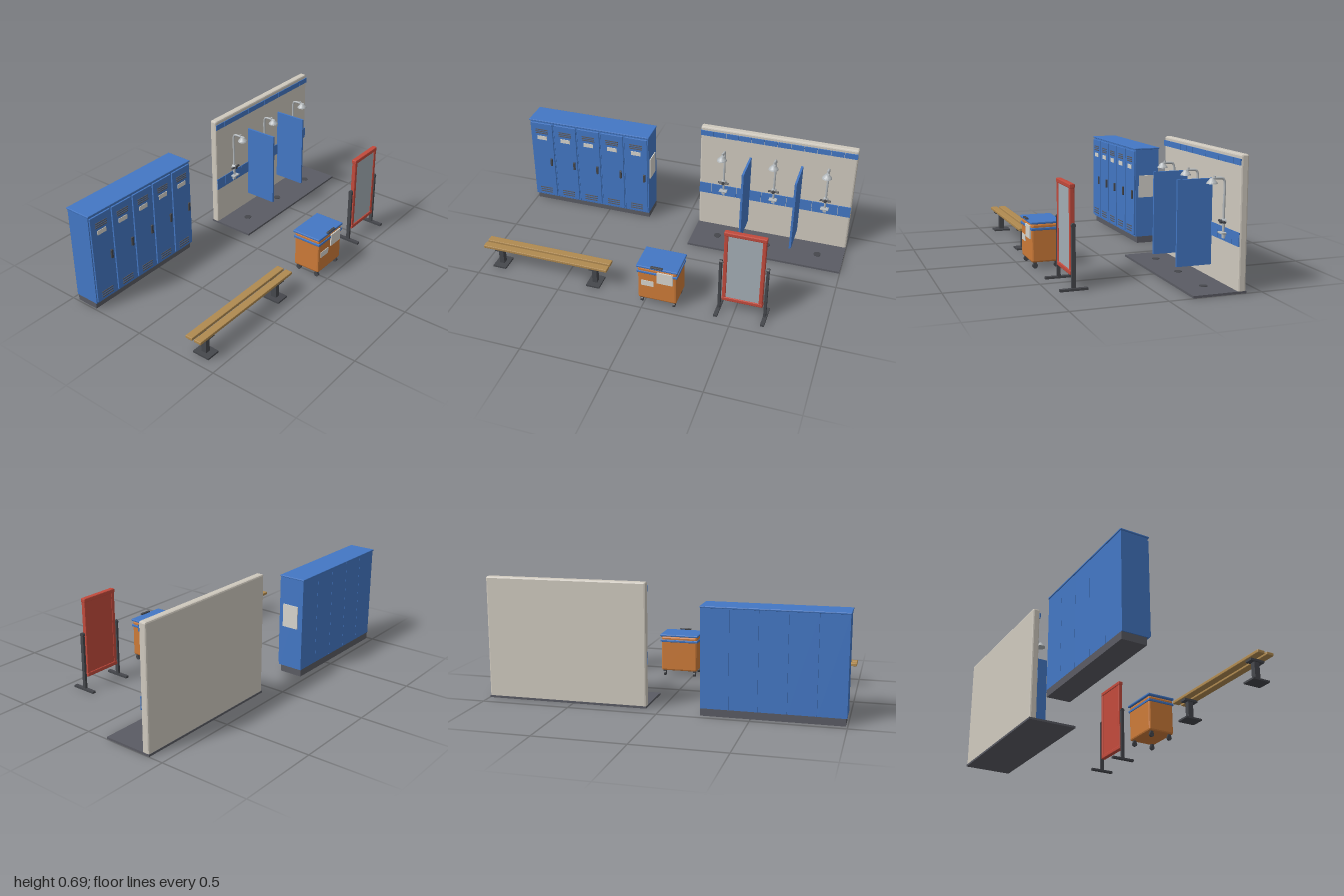
import * as THREE from 'three';
import { RoundedBoxGeometry } from 'three/addons/geometries/RoundedBoxGeometry.js';

const mat = (name, color) => {
  const m = new THREE.MeshStandardMaterial({ color });
  m.name = name;
  return m;
};

export function createModel() {
  const blue = mat('blue paint', 0x4377c4);
  const cream = mat('cream wall', 0xcfc9be);
  const orange = mat('orange plastic', 0xcc7a38);
  const red = mat('red frame', 0xc24a3c);
  const wood = mat('bench wood', 0xb08a50);
  const dark = mat('dark metal', 0x45474c);
  const grey = mat('grey floor', 0x5a5b63);
  const paper = mat('paper', 0xd6d4cd);
  const metal = mat('bright metal', 0xb4b9bc);
  const glass = mat('mirror glass', 0xa3adb5);

  const root = new THREE.Group();
  root.name = 'changingRoom';
  const group = (name) => {
    const g = new THREE.Group();
    g.name = name;
    root.add(g);
    return g;
  };
  const add = (parent, name, geo, material, x, y, z) => {
    const mesh = new THREE.Mesh(geo, material);
    mesh.name = name;
    mesh.position.set(x, y, z);
    parent.add(mesh);
    return mesh;
  };
  // Box given by its limits; a bevel makes chamfered edges
  const box = (parent, name, material, [x0, x1], [y0, y1], [z0, z1], bevel = 0) => {
    const s = [x1 - x0, y1 - y0, z1 - z0];
    const geo = bevel ? new RoundedBoxGeometry(...s, 1, bevel) : new THREE.BoxGeometry(...s);
    if (bevel) geo.computeVertexNormals();
    return add(parent, name, geo, material, (x0 + x1) / 2, (y0 + y1) / 2, (z0 + z1) / 2);
  };
  const mid = (c, half) => [c - half, c + half];
  // Cylinder along a chosen axis
  const rod = (parent, name, material, r0, r1, len, x, y, z, axis = 'y', sides = 16) => {
    const geo = new THREE.CylinderGeometry(r0, r1, len, sides);
    if (axis === 'x') geo.rotateZ(Math.PI / 2);
    if (axis === 'z') geo.rotateX(Math.PI / 2);
    return add(parent, name, geo, material, x, y, z);
  };

  // Row of five lockers
  const lockers = group('lockers');
  box(lockers, 'plinth', grey, [-0.99, -0.232], [0, 0.04], [-0.463, -0.328]);
  box(lockers, 'roof', blue, [-1, -0.225], [0.578, 0.588], [-0.468, -0.308], 0.003);
  const pitch = 0.1535;
  for (let i = 0; i < 5; i++) {
    const x = -0.6125 + (i - 2) * pitch;
    box(lockers, 'lockerBody', blue, mid(x, pitch / 2 - 0.0007), [0.04, 0.578], [-0.463, -0.315]);
    box(lockers, 'lockerDoor', blue, mid(x, 0.071), [0.05, 0.57], [-0.315, -0.305], 0.002);
    for (const y of [0.502, 0.514, 0.526, 0.07, 0.085, 0.1]) {
      box(lockers, 'ventSlat', grey, mid(x, 0.04), mid(y, 0.003), [-0.306, -0.302]);
    }
    box(lockers, 'namePlate', paper, mid(x, 0.031), [0.456, 0.482], [-0.306, -0.302]);
    box(lockers, 'doorHandle', dark, mid(x + 0.052, 0.007), [0.275, 0.328], [-0.306, -0.295], 0.003);
  }
  box(lockers, 'sideNotice', paper, [-0.23, -0.224], [0.285, 0.42], [-0.432, -0.335]);

  // Bench
  const bench = group('bench');
  for (const z of [0.341, 0.397]) {
    box(bench, 'plank', wood, [-0.992, -0.232], [0.124, 0.141], mid(z, 0.0215), 0.003);
  }
  for (const x of [-0.903, -0.32]) {
    box(bench, 'foot', dark, mid(x, 0.04), [0, 0.01], [0.32, 0.422]);
    box(bench, 'post', dark, mid(x, 0.014), [0.01, 0.114], mid(0.37, 0.016));
    box(bench, 'saddle', dark, mid(x, 0.022), [0.112, 0.125], [0.328, 0.412]);
  }

  // Laundry cart with lid
  const cart = group('cart');
  box(cart, 'tub', orange, [-0.032, 0.19], [0.035, 0.249], [0.292, 0.456], 0.01);
  box(cart, 'band', blue, [-0.037, 0.195], [0.214, 0.229], [0.288, 0.46], 0.003);
  box(cart, 'lid', blue, [-0.04, 0.197], [0.249, 0.262], [0.284, 0.461], 0.004);
  box(cart, 'lidHandle', dark, [0.043, 0.113], [0.262, 0.271], [0.451, 0.467], 0.003);
  box(cart, 'largeLabel', paper, [0.08, 0.17], [0.165, 0.237], [0.455, 0.463]);
  box(cart, 'smallLabel', paper, [-0.013, 0.06], [0.13, 0.165], [0.453, 0.459]);
  for (const x of [-0.014, 0.172]) {
    for (const z of [0.314, 0.435]) {
      rod(cart, 'casterWheel', dark, 0.015, 0.015, 0.012, x, 0.015, z, 'x');
      box(cart, 'casterFork', dark, mid(x, 0.008), [0.018, 0.038], mid(z, 0.009));
    }
  }

  // Tilting mirror on two feet
  const mirror = group('mirror');
  const mx = 0.54, mz = 0.373;
  for (const s of [-1, 1]) {
    box(mirror, 'stile', red, mid(mx + s * 0.1025, 0.0105), [0.085, 0.525], mid(mz, 0.0125), 0.004);
    box(mirror, 'post', dark, mid(mx + s * 0.129, 0.007), [0.01, 0.335], mid(mz, 0.01));
    box(mirror, 'foot', dark, mid(mx + s * 0.131, 0.011), [0, 0.012], [0.3, 0.447]);
    rod(mirror, 'pivotKnob', dark, 0.012, 0.012, 0.016, mx + s * 0.129, 0.33, mz, 'x');
    rod(mirror, 'pivotPin', dark, 0.005, 0.005, 0.03, mx + s * 0.12, 0.33, mz, 'x', 10);
  }
  for (const y of [0.088, 0.524]) {
    box(mirror, 'rail', red, mid(mx, 0.115), mid(y, 0.0115), mid(mz, 0.0145), 0.004);
  }
  box(mirror, 'backPanel', red, mid(mx, 0.096), [0.095, 0.517], [mz - 0.009, mz + 0.004]);
  box(mirror, 'mirrorGlass', glass, mid(mx, 0.093), [0.098, 0.514], [mz + 0.003, mz + 0.008]);

  // Shower wall, floor and tile bands
  const shower = group('showers');
  const x0 = 0.08, x1 = 0.998;
  box(shower, 'wall', cream, [x0, x1], [0.003, 0.69], [-0.413, -0.37], 0.009);
  box(shower, 'floor', grey, [x0, x1], [0, 0.012], [-0.415, -0.129]);
  const tile = (x1 - x0) / 12;
  for (let i = 0; i < 12; i++) {
    const x = x0 + tile * (i + 0.5);
    box(shower, 'upperTile', blue, mid(x, tile / 2 - 0.0015), [0.636, 0.668], [-0.371, -0.365]);
    box(shower, 'lowerTile', blue, mid(x, tile / 2 - 0.0015), [0.236, 0.306], [-0.371, -0.366]);
  }
  for (const x of [0.386, 0.691]) {
    box(shower, 'partition', blue, mid(x, 0.006), [0.08, 0.534], [-0.369, -0.173]);
  }

  // Shower fittings
  const headProfile = [[0, 0.026], [0.011, 0.026], [0.015, 0.02], [0.026, 0.007], [0.029, 0], [0, 0]]
    .map(([r, y]) => new THREE.Vector2(r, y)).reverse();
  for (const x of [0.232, 0.538, 0.846]) {
    const pipe = new THREE.CatmullRomCurve3([
      [x, 0.28, -0.36], [x, 0.42, -0.36], [x, 0.54, -0.36], [x, 0.554, -0.352],
      [x, 0.557, -0.33], [x, 0.557, -0.292],
    ].map((p) => new THREE.Vector3(...p)));
    add(shower, 'pipe', new THREE.TubeGeometry(pipe, 32, 0.0065, 10), metal, 0, 0, 0);
    const head = add(shower, 'showerHead', new THREE.LatheGeometry(headProfile, 20), metal, x, 0.531, -0.291);
    head.geometry = head.geometry.toNonIndexed();
    head.geometry.computeVertexNormals();
    rod(shower, 'headCollar', metal, 0.006, 0.006, 0.018, x, 0.561, -0.306, 'y', 10);
    // Valve with a cross bar
    rod(shower, 'valveBody', metal, 0.013, 0.016, 0.02, x, 0.337, -0.358, 'z');
    rod(shower, 'valveKnob', dark, 0.01, 0.01, 0.014, x, 0.337, -0.346, 'z');
    rod(shower, 'valveBar', dark, 0.006, 0.006, 0.064, x, 0.337, -0.35, 'x', 10);
    // Soap dish
    box(shower, 'soapDish', metal, mid(x, 0.024), [0.274, 0.283], [-0.368, -0.338], 0.002);
    box(shower, 'soapBracket', metal, mid(x, 0.01), [0.25, 0.275], [-0.368, -0.356]);
    rod(shower, 'drain', dark, 0.021, 0.021, 0.004, x, 0.013, -0.255, 'y', 20);
  }
  return root;
}
